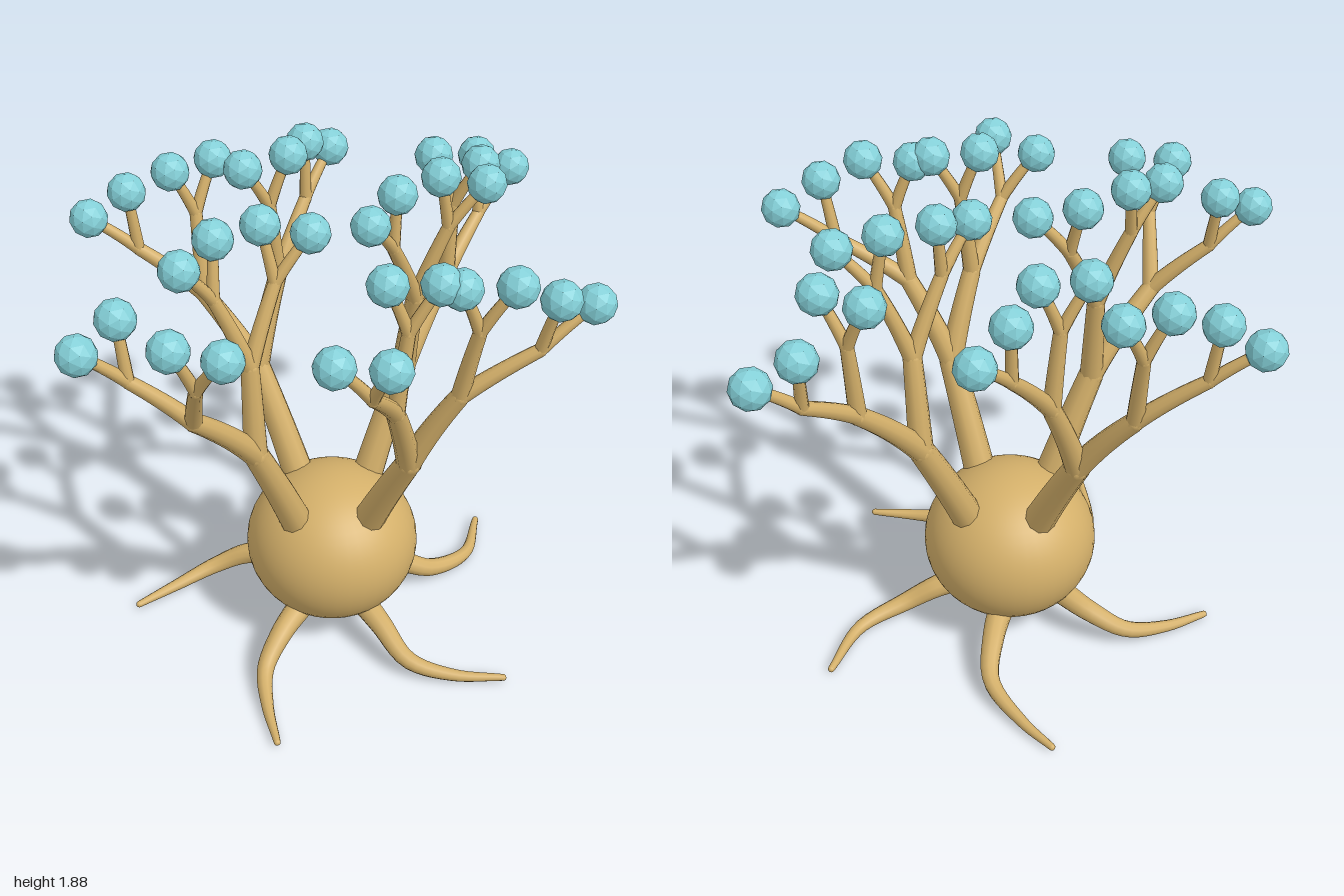
import * as THREE from 'three';

const V = (p) => new THREE.Vector3(...p);

// Tube along a curve whose radius shrinks from r0 to r1
function taperedTube(curve, r0, r1, steps, sides = 10) {
  const geo = new THREE.TubeGeometry(curve, steps, 1, sides, false);
  const pos = geo.attributes.position;
  const p = new THREE.Vector3();
  for (let i = 0; i <= steps; i++) {
    const c = curve.getPointAt(i / steps);
    const r = r0 + (r1 - r0) * (i / steps);
    for (let j = 0; j <= sides; j++) {
      const k = i * (sides + 1) + j;
      p.fromBufferAttribute(pos, k).sub(c).multiplyScalar(r).add(c);
      pos.setXYZ(k, p.x, p.y, p.z);
    }
  }
  return geo;
}

export function createModel() {
  const bark = new THREE.MeshStandardMaterial({ color: 0xd4b06a });
  bark.name = 'tan bark';
  const blue = new THREE.MeshStandardMaterial({ color: 0x84d0d8, flatShading: true });
  blue.name = 'pale blue';
  const model = new THREE.Group();

  const add = (parent, name, geo, mat, at) => {
    const mesh = new THREE.Mesh(geo, mat);
    mesh.name = name;
    if (at) mesh.position.copy(at);
    parent.add(mesh);
    return mesh;
  };

  // Round body
  add(model, 'body', new THREE.SphereGeometry(0.33, 40, 28), bark, V([0.01, 0.355, -0.02]))
    .scale.set(1, 0.915, 1);

  // Branch that leaves its fork steeply, then leans outward
  const ballGeo = new THREE.IcosahedronGeometry(0.071, 1);
  const branch = (parent, name, a, b, r0, r1, bend) => {
    const mid = a.clone().lerp(b, 0.5);
    mid.x += (a.x - b.x) * bend;
    mid.z += (a.z - b.z) * bend;
    const curve = new THREE.QuadraticBezierCurve3(a, mid, b);
    add(parent, name, taperedTube(curve, r0, r1, 8), bark);
    add(parent, name + 'Joint', new THREE.SphereGeometry(r1, 10, 8), bark, b);
  };

  // Four trees: base, main fork, then two limbs, each with two pairs of ball tips
  const trees = [
    { name: 'backTree', base: [-0.06, 0.56, -0.19], fork: [-0.145, 0.97, -0.395], limbs: [
      { fork: [-0.3, 1.25, -0.53], pairs: [
        [[-0.674, 1.575, -0.668], [-0.535, 1.67, -0.636]],
        [[-0.374, 1.727, -0.62], [-0.203, 1.73, -0.652]]] },
      { fork: [-0.03, 1.3, -0.47], pairs: [
        [[-0.155, 1.775, -0.455], [0.021, 1.79, -0.47]],
        [[0.139, 1.75, -0.615], [0.267, 1.67, -0.69]]] }] },
    { name: 'rightTree', base: [0.19, 0.56, -0.1], fork: [0.365, 0.97, -0.18], limbs: [
      { fork: [0.59, 1.26, -0.31], pairs: [
        [[0.78, 1.636, -0.487], [0.93, 1.556, -0.487]],
        [[0.55, 1.73, -0.38], [0.684, 1.725, -0.267]]] },
      { fork: [0.37, 1.32, -0.11], pairs: [
        [[0.444, 1.807, -0.096], [0.61, 1.76, -0.07]],
        [[0.262, 1.797, -0.053], [0.128, 1.75, 0.032]]] }] },
    { name: 'leftTree', base: [-0.165, 0.56, 0.06], fork: [-0.335, 0.975, 0.12], limbs: [
      { fork: [-0.58, 1.26, 0.22], pairs: [
        [[-0.93, 1.588, 0.17], [-0.786, 1.663, 0.13]],
        [[-0.69, 1.684, 0.39], [-0.545, 1.668, 0.48]]] },
      { fork: [-0.33, 1.32, 0.08], pairs: [
        [[-0.417, 1.807, 0.01], [-0.56, 1.77, 0.096]],
        [[-0.235, 1.79, -0.048], [-0.075, 1.75, 0]]] }] },
    { name: 'frontTree', base: [0.09, 0.56, 0.15], fork: [0.155, 0.96, 0.345], limbs: [
      { fork: [0.05, 1.28, 0.45], pairs: [
        [[0.016, 1.78, 0.433], [0.187, 1.765, 0.47]],
        [[-0.235, 1.652, 0.615], [-0.096, 1.68, 0.73]]] },
      { fork: [0.29, 1.28, 0.44], pairs: [
        [[0.25, 1.743, 0.487], [0.42, 1.743, 0.54]],
        [[0.572, 1.668, 0.56], [0.727, 1.595, 0.522]]] }] },
  ];
  for (const t of trees) {
    const tree = new THREE.Group();
    tree.name = t.name;
    model.add(tree);
    const fork = V(t.fork);
    branch(tree, 'stem', V(t.base), fork, 0.061, 0.047, 0.04);
    for (const limb of t.limbs) {
      const limbEnd = V(limb.fork);
      branch(tree, 'limb', fork, limbEnd, 0.045, 0.034, 0.1);
      for (const pair of limb.pairs) {
        const tips = pair.map(V);
        const twigEnd = tips[0].clone().add(tips[1]).multiplyScalar(0.5);
        const y = twigEnd.y - 0.18;
        twigEnd.lerp(limbEnd, 0.3).setY(y);
        branch(tree, 'twig', limbEnd, twigEnd, 0.032, 0.024, 0.08);
        for (const tip of tips) {
          branch(tree, 'sprig', twigEnd, tip, 0.023, 0.018, 0.08);
          add(tree, 'ballTip', ballGeo, blue, tip);
        }
      }
    }
  }

  // Five roots spreading over the ground: [x, z] at falling heights
  const heights = [0.17, 0.135, 0.065, 0.027, 0.016];
  const roots = [
    [[0.08, -0.2], [0.14, -0.32], [0.185, -0.48], [0.11, -0.67], [0.03, -0.8]],
    [[-0.15, -0.17], [-0.25, -0.28], [-0.38, -0.335], [-0.55, -0.32], [-0.72, -0.28]],
    [[-0.17, 0.11], [-0.28, 0.19], [-0.38, 0.28], [-0.425, 0.42], [-0.45, 0.595]],
    [[0.06, 0.18], [0.09, 0.29], [0.14, 0.44], [0.28, 0.54], [0.46, 0.615]],
    [[0.2, -0.02], [0.3, -0.01], [0.43, 0], [0.62, -0.06], [0.76, -0.245]],
  ];
  for (const r of roots) {
    const pts = r.map(([x, z], i) => V([x, heights[i], z]));
    add(model, 'root', taperedTube(new THREE.CatmullRomCurve3(pts), 0.05, 0.013, 20), bark);
    add(model, 'rootTip', new THREE.SphereGeometry(0.013, 10, 8), bark, pts[4]);
  }
  return model;
}
